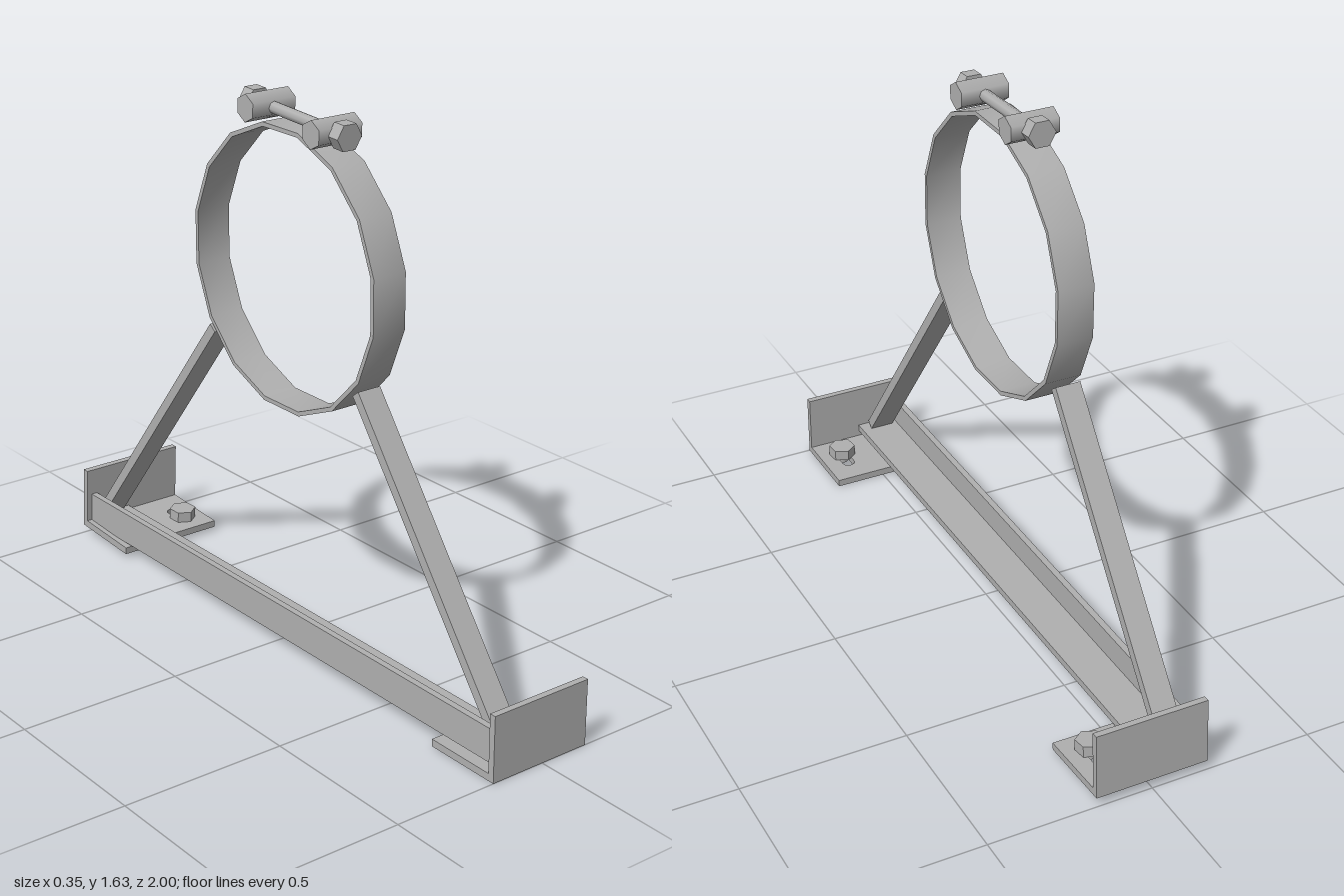
import * as THREE from 'three';
import { toCreasedNormals } from 'three/addons/utils/BufferGeometryUtils.js';

const steel = new THREE.MeshStandardMaterial({ color: 0xb0b0b0 });
steel.name = 'galvanised steel';

function add(parent, name, geometry, x = 0, y = 0, z = 0) {
  const mesh = new THREE.Mesh(geometry, steel);
  mesh.name = name;
  mesh.position.set(x, y, z);
  parent.add(mesh);
  return mesh;
}

// Six-sided prism with crisp faces, axis along y
const hexPrism = (r, h, turn) =>
  toCreasedNormals(new THREE.CylinderGeometry(r, r, h, 6, 1, false, turn), 0.3);

// Angle bracket with a slotted foot and a bolt; dir = 1 front, -1 back
function createBracket(name, dir, left, right, slotX, slotZ, boltZ) {
  const bracket = new THREE.Group();
  bracket.name = name;
  const width = right - left, middle = (left + right) / 2;

  add(bracket, 'uprightPlate', new THREE.BoxGeometry(width, 0.2, 0.02), middle, 0.1, dir * 0.99);

  // The shape's y becomes -z once laid flat
  const foot = new THREE.Shape();
  const far = -dir * 0.98, near = -dir * 0.752;
  foot.moveTo(left, far).lineTo(right, far).lineTo(right, near).lineTo(left, near).closePath();
  const slot = new THREE.Path();
  const a = Math.min(-slotZ[0], -slotZ[1]) + 0.02, b = Math.max(-slotZ[0], -slotZ[1]) - 0.02;
  slot.absarc(slotX, b, 0.02, 0, Math.PI, false);
  slot.absarc(slotX, a, 0.02, Math.PI, Math.PI * 2, false);
  slot.closePath();
  foot.holes.push(slot);
  const plate = new THREE.ExtrudeGeometry(foot, { depth: 0.022, bevelEnabled: false, curveSegments: 5 });
  add(bracket, 'slottedFoot', plate.rotateX(-Math.PI / 2));

  add(bracket, 'anchorBoltHead', hexPrism(0.042, 0.034, 0.1), slotX, 0.041, boltZ);
  add(bracket, 'anchorBoltShank', new THREE.CylinderGeometry(0.018, 0.018, 0.025, 8), slotX, 0.014, boltZ);
  return bracket;
}

// Flat bar between two points in the plane of the ring
function createStrut(parent, name, z0, y0, z1, y1) {
  const length = Math.hypot(z1 - z0, y1 - y0);
  const strut = add(parent, name, new THREE.BoxGeometry(0.077, length, 0.03),
    -0.083, (y0 + y1) / 2, (z0 + z1) / 2);
  strut.rotation.x = Math.atan2(z1 - z0, y1 - y0);
}

export function createModel() {
  const model = new THREE.Group();
  model.name = 'pipeClampStand';

  // Sixteen-sided clamp band
  const outer = 0.418, inner = 0.405, half = 0.055;
  const profile = [[inner, -half], [outer, -half], [outer, half], [inner, half], [inner, -half]]
    .map(([r, y]) => new THREE.Vector2(r, y));
  const band = new THREE.LatheGeometry(profile, 16, Math.PI / 16);
  add(model, 'clampBand', toCreasedNormals(band.rotateZ(Math.PI / 2), 0.6), -0.067, 1.155, 0.01);

  // Tightening bolt running through two cross barrels
  const clamp = new THREE.Group();
  clamp.name = 'clampFastener';
  clamp.position.set(-0.068, 1.588, 0.025);
  clamp.rotation.x = 0.05;
  const rod = new THREE.CylinderGeometry(0.018, 0.018, 0.36, 8);
  add(clamp, 'tighteningRod', rod.rotateX(Math.PI / 2));
  for (const side of [-1, 1]) {
    const barrel = new THREE.CylinderGeometry(0.041, 0.041, 0.147, 6, 1, false, Math.PI / 6);
    add(clamp, 'crossBarrel', barrel.rotateZ(Math.PI / 2), 0, 0, side * 0.148);
    const head = hexPrism(0.042, 0.042, Math.PI / 6).rotateX(Math.PI / 2);
    add(clamp, 'clampBoltHead', head, 0, 0, side * 0.202);
  }
  model.add(clamp);

  // Sloping struts from the rail ends to the band
  createStrut(model, 'frontStrut', 0.952, 0.077, 0.345, 0.89);
  createStrut(model, 'backStrut', -0.965, 0.085, -0.325, 0.893);

  // Angle-section base rail
  const section = new THREE.Shape();
  [[-0.157, 0.046], [-0.015, 0.046], [-0.015, 0.068], [-0.137, 0.068], [-0.137, 0.147], [-0.157, 0.147]]
    .forEach(([x, y], i) => (i ? section.lineTo(x, y) : section.moveTo(x, y)));
  add(model, 'baseRail', new THREE.ExtrudeGeometry(section, { depth: 1.955, bevelEnabled: false }), 0, 0, -0.975);

  // End brackets; the back one sits slightly higher and tipped
  const front = createBracket('frontBracket', 1, -0.175, 0.158, 0.085, [0.822, 0.915], 0.892);
  front.position.y = 0.006;
  const back = createBracket('backBracket', -1, -0.174, 0.172, 0.097, [-0.9, -0.81], -0.828);
  const tilt = 0.06;
  back.rotation.x = tilt;
  back.position.set(0, 0.034 - Math.sin(tilt), 0);
  model.add(front, back);

  return model;
}
